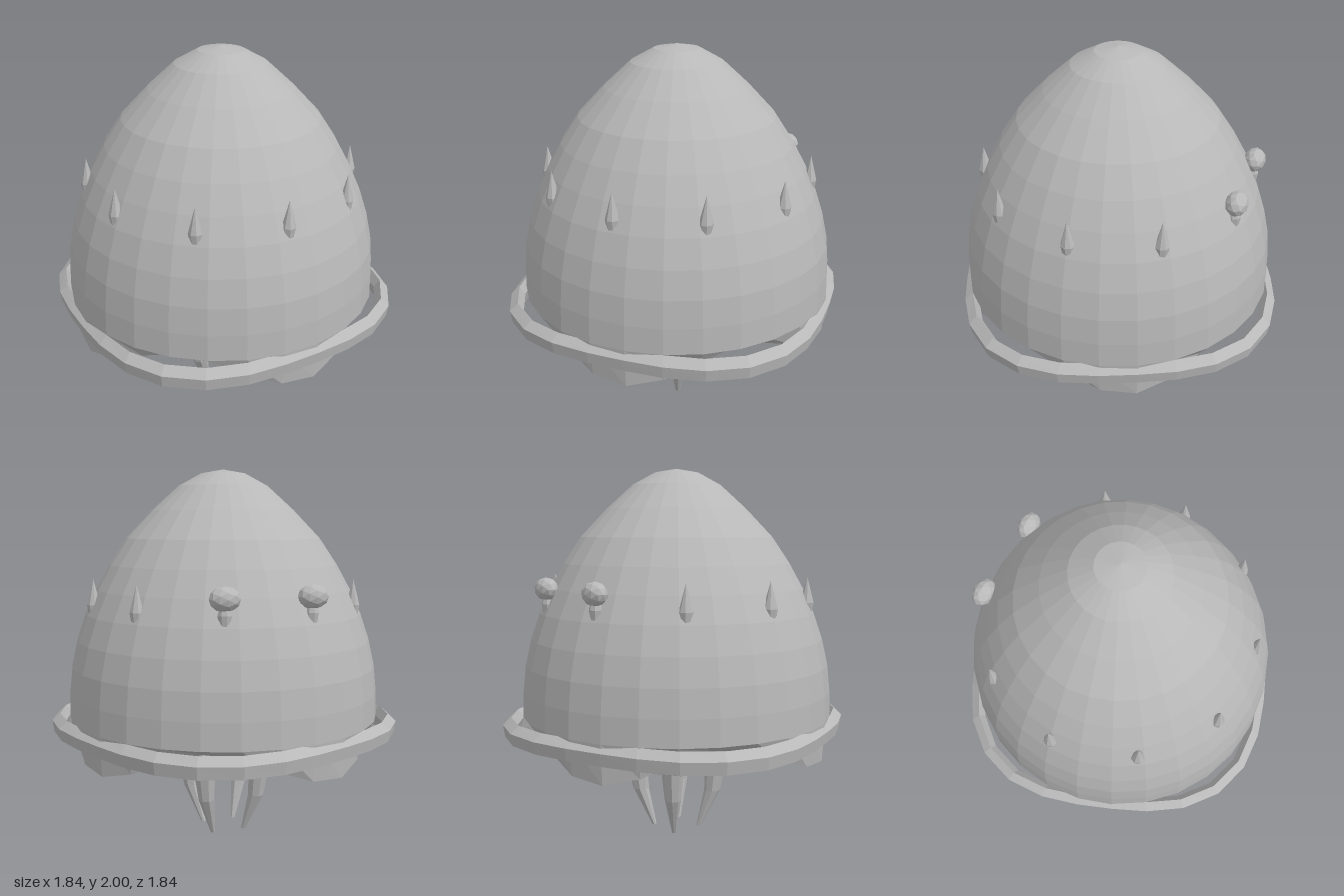
import * as THREE from 'three';

const grey = new THREE.MeshStandardMaterial({ color: 0xb8b8b8, flatShading: true });
grey.name = 'plain grey';

// Skin a stack of closed rings; each row maps an angle (from +z towards +x) to a point.
function loft(rows, sides) {
  const pos = [], index = [];
  for (const row of rows) {
    for (let j = 0; j <= sides; j++) pos.push(...row((j % sides) / sides * Math.PI * 2));
  }
  const w = sides + 1;
  for (let i = 0; i < rows.length - 1; i++) {
    for (let j = 0; j < sides; j++) {
      const a = i * w + j, b = a + w;
      index.push(a, b, b + 1, a, b + 1, a + 1);
    }
  }
  const g = new THREE.BufferGeometry();
  g.setAttribute('position', new THREE.Float32BufferAttribute(pos, 3));
  g.setIndex(index);
  g.computeVertexNormals();
  return g;
}

const circle = (r, y, cx = 0, cz = 0) => a => [cx + r * Math.sin(a), y, cz + r * Math.cos(a)];
const wave = a => Math.sin(4 * a);

export function createModel() {
  const model = new THREE.Group();
  model.name = 'jellyfish';
  const add = (name, geometry) => {
    const m = new THREE.Mesh(geometry, grey);
    m.name = name;
    model.add(m);
    return m;
  };

  // Bell, down to its rim
  const bell = [[0, 2], [0.12, 1.978], [0.24, 1.912], [0.38, 1.785], [0.52, 1.638], [0.613, 1.5],
    [0.685, 1.37], [0.745, 1.24], [0.793, 1.1], [0.825, 0.96], [0.84, 0.82], [0.845, 0.685]]
    .map(([r, y]) => circle(r, y));
  add('bell', loft(bell, 28));

  // Underside: four hanging scallops around a shallow hollow
  const hem = a => circle(0.8 + 0.035 * wave(a), 0.565 - 0.085 * wave(a))(a);
  const under = [circle(0.845, 0.685), hem, circle(0.6, 0.73), circle(0.3, 0.755), circle(0, 0.765)];
  add('underside', loft(under, 28));

  // Four-lobed band around the rim
  const section = [[-0.045, 0.685], [0, 0.646], [-0.01, 0.582], [-0.055, 0.567],
    [-0.075, 0.64], [-0.045, 0.685]];
  add('rimBand', loft(section.map(([d, y]) => a => circle(0.91 - 0.045 * wave(a) + d, y)(a)), 28));

  // Four arms, bowed outwards and tapering to the ground: [offset, height, radius]
  const path = [[0.135, 0.64, 0], [0.135, 0.64, 0.088], [0.165, 0.48, 0.07],
    [0.144, 0.22, 0.045], [0.09, 0.005, 0.013], [0.09, 0, 0]];
  for (const sx of [-1, 1]) {
    for (const sz of [-1, 1]) {
      add('arm', loft(path.map(([o, y, r]) => circle(r, y, sx * o, sz * o)), 8));
    }
  }

  // Ring of ten small thorns
  const thorn = loft([circle(0, 0.21), circle(0.036, 0.075), circle(0.024, 0), circle(0, 0)], 8);
  for (let i = 0; i < 10; i++) {
    const a = i / 10 * Math.PI * 2;
    add('thorn', thorn).position.set(0.71 * Math.cos(a), 1.222, 0.71 * Math.sin(a));
  }

  // Two knobs over the rear thorns
  const knob = new THREE.IcosahedronGeometry(1, 1);
  for (const s of [-1, 1]) {
    const m = add('knob', knob);
    m.position.set(s * 0.222, 1.374, -0.685);
    m.scale.set(0.078, 0.06, 0.057);
  }
  return model;
}
